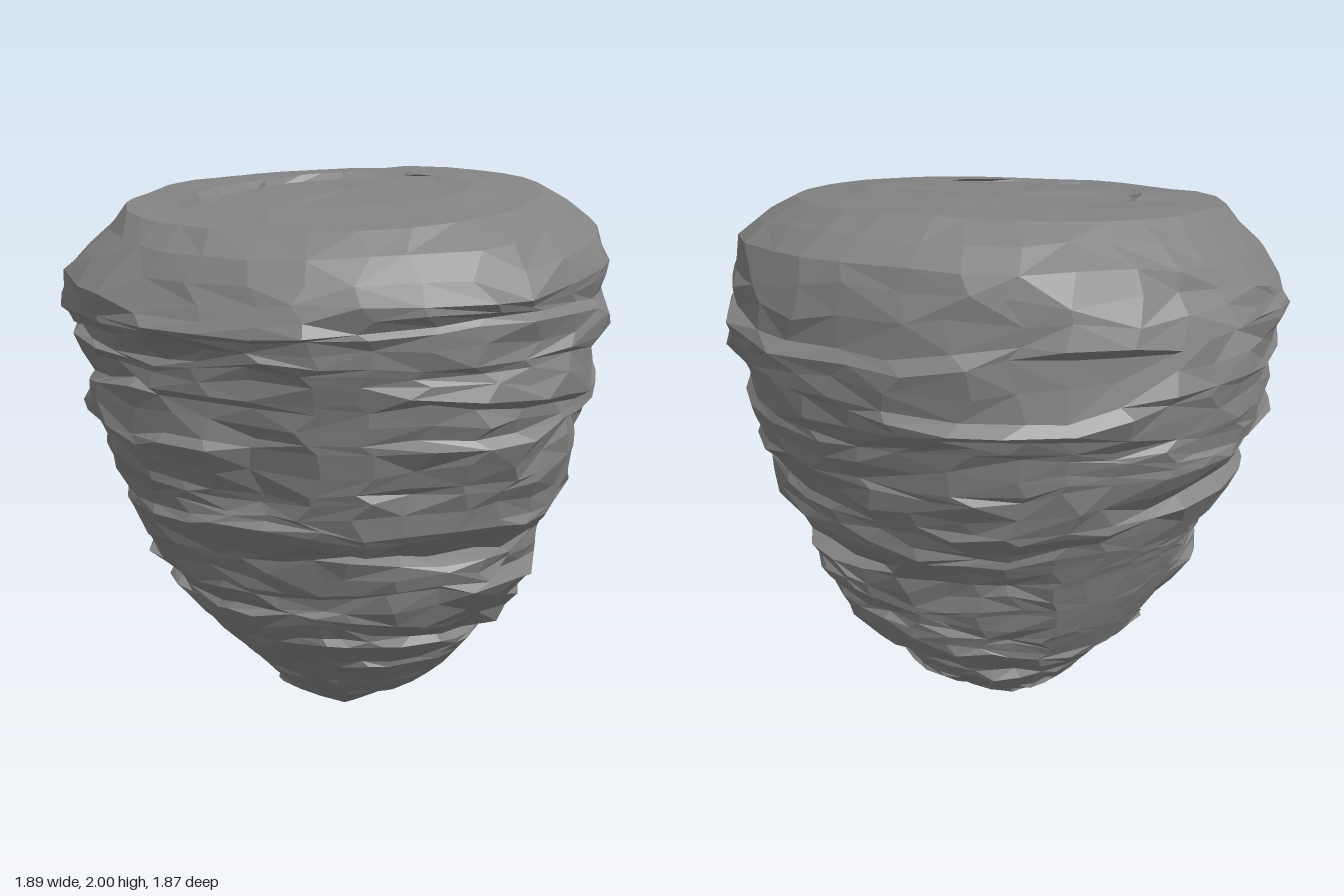
import * as THREE from 'three';

// Rock outline: height, then reach toward +x, -x, +z, -z
const PROFILE = [
  [0.04, 0.10, 0.06, 0.03, 0.11], [0.10, 0.22, 0.20, 0.11, 0.20], [0.20, 0.40, 0.27, 0.22, 0.33],
  [0.30, 0.47, 0.37, 0.33, 0.41], [0.42, 0.59, 0.50, 0.46, 0.50], [0.55, 0.69, 0.57, 0.54, 0.58],
  [0.67, 0.75, 0.64, 0.63, 0.62], [0.79, 0.76, 0.69, 0.67, 0.66], [0.90, 0.83, 0.74, 0.75, 0.71],
  [1.05, 0.87, 0.79, 0.79, 0.80], [1.20, 0.91, 0.89, 0.82, 0.85], [1.32, 0.91, 0.90, 0.84, 0.88],
  [1.46, 0.94, 0.93, 0.88, 0.91], [1.62, 0.94, 0.94, 0.92, 0.92], [1.75, 0.93, 0.87, 0.91, 0.90],
  [1.85, 0.86, 0.78, 0.84, 0.80], [1.92, 0.73, 0.70, 0.74, 0.66],
];
const LEDGES = [0.04, 0.12, 0.22, 0.32, 0.43, 0.55, 0.67, 0.79, 0.91, 1.05, 1.20, 1.33, 1.46, 1.60, 1.73];
const COLUMNS = 32;
// Smooth plates that bridge several layers: column range, height range, offset
const SLABS = [
  [1, 2, 0.85, 1.46, 0.025], [8, 10, 0.55, 0.91, 0.0], [18, 22, 0.42, 0.95, 0.01],
];

// Repeatable noise in -1..1
function hash(a, b, c = 0) {
  const s = Math.sin(a * 127.1 + b * 311.7 + c * 74.7 + 3.3) * 43758.5453;
  return 2 * (s - Math.floor(s)) - 1;
}

// Outline radius at a height and angle (angle 0 faces +z)
function radiusAt(y, angle) {
  let i = 0;
  while (i < PROFILE.length - 2 && y > PROFILE[i + 1][0]) i++;
  const a = PROFILE[i], b = PROFILE[i + 1];
  const t = THREE.MathUtils.clamp((y - a[0]) / (b[0] - a[0]), 0, 1);
  const reach = (k) => a[k] + (b[k] - a[k]) * t;
  const s = Math.sin(angle), c = Math.cos(angle);
  const r = 1 / Math.hypot(s / reach(s > 0 ? 1 : 2), c / reach(c > 0 ? 3 : 4));
  // corners swell at the front left and flatten at the back right
  const corner = s > 0 ? (c > 0 ? 0.05 : 0.03) : (c > 0 ? 0.015 : -0.035);
  return r * (1 + corner * Math.sin(2 * angle) ** 2);
}

// The upper part leans: low at the front, high at the back
const lean = (y, z) => -0.12 * z * THREE.MathUtils.smoothstep(y, 1.4, 1.8);

function pointAt(r, angle, y) {
  const z = r * Math.cos(angle);
  return new THREE.Vector3(r * Math.sin(angle), y + lean(y, z), z);
}

// Wandering height of a ledge line around the rock
function ledgeWave(ledge, j) {
  const angle = (j / COLUMNS) * Math.PI * 2;
  return 0.016 * Math.sin(angle * 2 + ledge * 1.9) + 0.012 * Math.sin(angle * 5 + ledge * 2.7)
    + 0.012 * hash(j, ledge, 9);
}

// One ring of a layer (row 0 foot, 1 middle, 2 top); blocks of columns share one offset
function layerRing(y, layer, row) {
  const ring = [];
  const width = 3 + (layer % 3);
  for (let j = 0; j < COLUMNS; j++) {
    const angle = ((j + 0.28 * hash(j, layer, row)) / COLUMNS) * Math.PI * 2;
    const wave = row === 1
      ? (ledgeWave(layer, j) + ledgeWave(layer + 1, j)) / 2 + 0.015 * hash(j, layer, 12)
      : ledgeWave(layer + row / 2, j);
    const height = y + Math.min(1, y / 0.5) * wave;
    let r = radiusAt(height, angle) - 0.015;
    const slab = SLABS.find(([from, to, low, high]) => j >= from && j <= to && y > low && y < high);
    if (slab) r += slab[4];
    else {
      const block = Math.floor(((j + layer * 2) % COLUMNS) / width);
      const size = Math.min(1, r / 0.5);
      // overhanging foot or projecting shelf
      const kick = hash(block, layer, 31) * (1 - row);
      r += size * (0.03 * hash(block, layer) + 0.022 * kick + 0.012 * hash(j, layer, row + 5));
    }
    ring.push(pointAt(r, angle, height));
  }
  return ring;
}

// One ring of the rounded shoulder
function shoulderRing(y, row, rough) {
  return Array.from({ length: COLUMNS }, (_, j) => {
    const angle = ((j + 0.25 * hash(j, row, 40)) / COLUMNS) * Math.PI * 2;
    const height = y + rough * 0.5 * hash(Math.floor(j / 2), row, 41);
    const r = radiusAt(height, angle) - 0.01 + rough * hash(Math.floor((j + row) / 3), row, 42);
    return pointAt(r, angle, height);
  });
}

// One ring of the cap; its back right part drops by the given depth
function capRing(scale, rise, depth, row) {
  return Array.from({ length: COLUMNS }, (_, j) => {
    const angle = (j / COLUMNS) * Math.PI * 2;
    const r = radiusAt(1.92, angle) * scale * (1 + 0.09 * hash(Math.floor((j + row) / 3), row, 50));
    const sunk = Math.max(0, Math.cos(angle - 4.0)) * depth;
    return pointAt(r, angle, 1.92 + rise - sunk + 0.006 * hash(Math.floor(j / 4), row, 60));
  });
}

function rockGeometry() {
  const rings = [];
  // stacked layers
  LEDGES.slice(0, -1).forEach((low, k) => {
    const high = LEDGES[k + 1], gap = (high - low) * 0.1;
    [low + gap, (low + high) / 2, high - gap].forEach((y, row) => rings.push(layerRing(y, k, row)));
  });
  // shoulder
  [[1.79, 0.02], [1.86, 0.016], [1.92, 0.01]].forEach(([y, rough], i) => rings.push(shoulderRing(y, i, rough)));
  // worn cap with a shallow step
  [[0.82, 0.008, 0], [0.62, 0.018, 0], [0.56, 0.016, 0.025], [0.28, 0.014, 0.015]]
    .forEach(([scale, rise, depth], i) => rings.push(capRing(scale, rise, depth, i)));

  const positions = [];
  const tri = (a, b, c) => [a, b, c].forEach((v) => positions.push(v.x, v.y, v.z));
  const tip = new THREE.Vector3(0.03, 0, -0.05);
  const crown = new THREE.Vector3(0.05, 1.932, -0.03);
  const last = rings[rings.length - 1];
  for (let j = 0; j < COLUMNS; j++) {
    const n = (j + 1) % COLUMNS;
    tri(tip, rings[0][n], rings[0][j]);
    for (let i = 0; i < rings.length - 1; i++) {
      const a = rings[i][j], b = rings[i][n], c = rings[i + 1][n], d = rings[i + 1][j];
      if (hash(i, j, 80) > 0) { tri(a, b, c); tri(a, c, d); }
      else { tri(a, b, d); tri(b, c, d); }
    }
    tri(last[j], last[n], crown);
  }

  const geometry = new THREE.BufferGeometry();
  geometry.setAttribute('position', new THREE.Float32BufferAttribute(positions, 3));
  geometry.computeVertexNormals();
  return geometry;
}

export function createModel() {
  const group = new THREE.Group();
  group.name = 'taperedRock';
  const material = new THREE.MeshStandardMaterial({ color: 0x838383, flatShading: true });
  const rock = new THREE.Mesh(rockGeometry(), material);
  rock.name = 'layeredRock';
  group.add(rock);
  return group;
}
